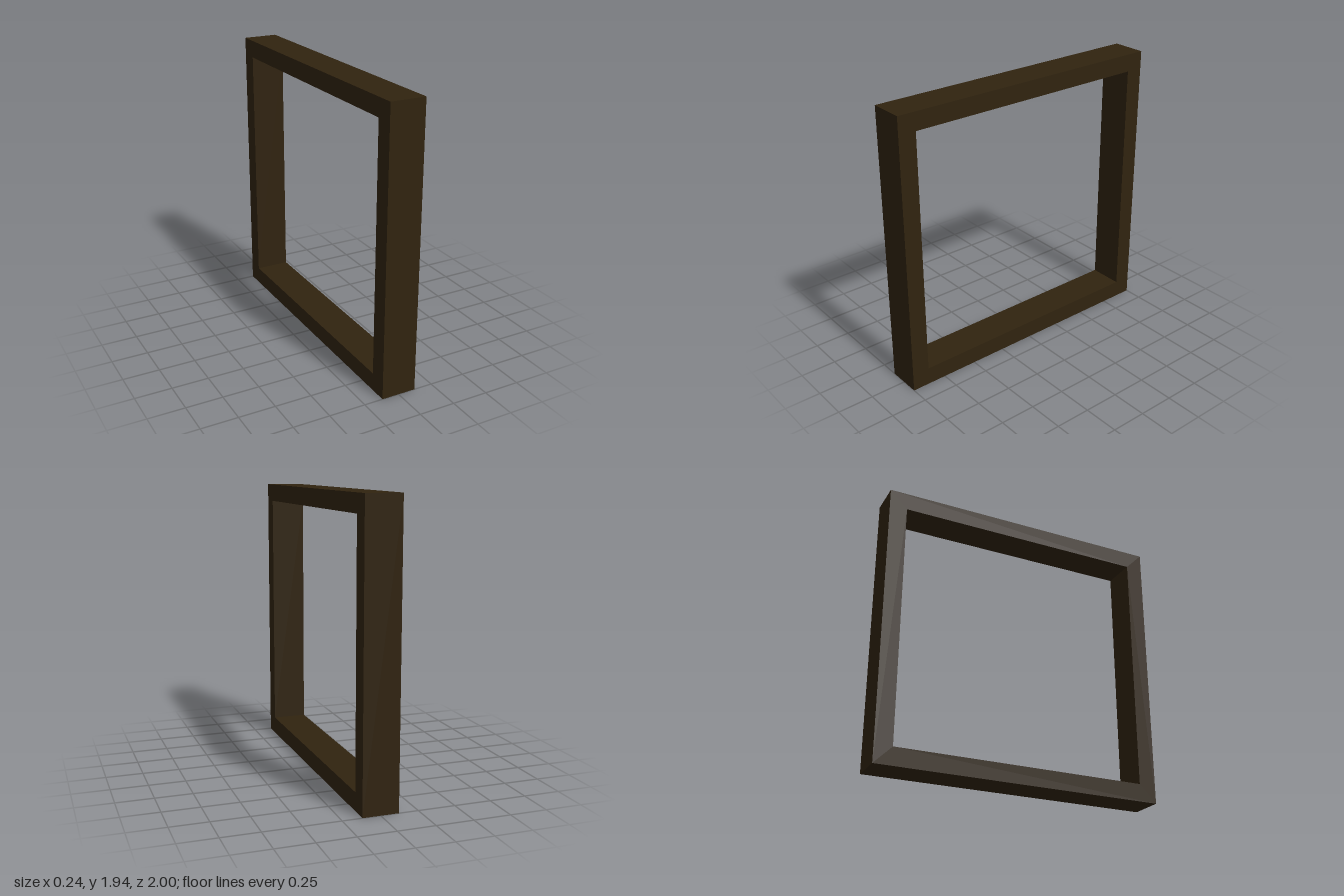
import * as THREE from 'three';

const HEIGHT = 1.94, LENGTH = 2, DEPTH = 0.24, BAR = 0.122;

export function createModel() {
  const model = new THREE.Group();
  model.name = 'openFrame';
  const material = new THREE.MeshStandardMaterial({ color: 0x30230f });

  // Rectangular outline with a rectangular opening
  const outline = new THREE.Shape([
    new THREE.Vector2(-LENGTH / 2, 0),
    new THREE.Vector2(LENGTH / 2, 0),
    new THREE.Vector2(LENGTH / 2, HEIGHT),
    new THREE.Vector2(-LENGTH / 2, HEIGHT),
  ]);
  const z = LENGTH / 2 - BAR;
  outline.holes.push(new THREE.Path([
    new THREE.Vector2(-z, BAR),
    new THREE.Vector2(-z, HEIGHT - BAR),
    new THREE.Vector2(z, HEIGHT - BAR),
    new THREE.Vector2(z, BAR),
  ]));

  // Extruded across its depth, then turned to lie in the y-z plane
  const geometry = new THREE.ExtrudeGeometry(outline, { depth: DEPTH, bevelEnabled: false });
  geometry.translate(0, 0, -DEPTH / 2);
  geometry.rotateY(Math.PI / 2);

  const frame = new THREE.Mesh(geometry, material);
  frame.name = 'frame';
  model.add(frame);
  return model;
}
